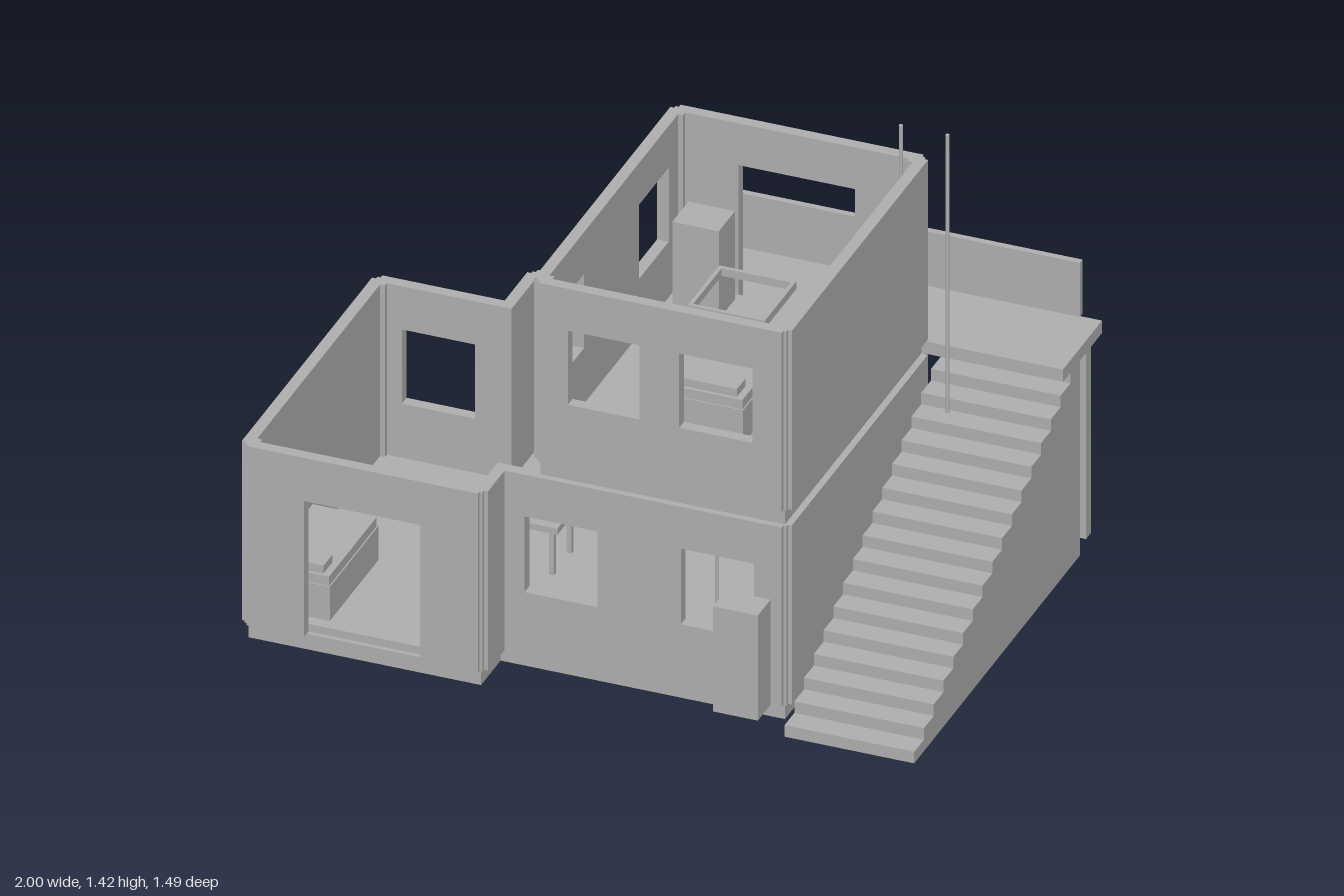
import * as THREE from 'three';

export function createModel() {
  const model = new THREE.Group();
  const plaster = new THREE.MeshStandardMaterial({ color: 0xb0b0b0 });
  plaster.name = 'grey plaster';
  const T = 0.035; // wall thickness

  function add(name, geometry, parent = model) {
    const mesh = new THREE.Mesh(geometry, plaster);
    mesh.name = name;
    parent.add(mesh);
    return mesh;
  }

  // Box given by its limits on each axis
  function box(name, x0, x1, y0, y1, z0, z1, parent = model) {
    const g = new THREE.BoxGeometry(x1 - x0, y1 - y0, z1 - z0);
    g.translate((x0 + x1) / 2, (y0 + y1) / 2, (z0 + z1) / 2);
    return add(name, g, parent);
  }

  function group(name) {
    const g = new THREE.Group();
    g.name = name;
    model.add(g);
    return g;
  }

  // Wall along x or z; openings are [from, to, bottom, top], doors start at the wall foot
  function wall(parent, name, axis, outer, inward, a, b, y0, y1, openings = []) {
    const s = new THREE.Shape();
    s.moveTo(a, y0);
    for (const [p, q, low, high] of openings) {
      if (low <= y0) {
        s.lineTo(p, y0); s.lineTo(p, high); s.lineTo(q, high); s.lineTo(q, y0);
      } else {
        const h = new THREE.Path();
        h.moveTo(p, low); h.lineTo(p, high); h.lineTo(q, high); h.lineTo(q, low);
        h.closePath();
        s.holes.push(h);
      }
    }
    s.lineTo(b, y0); s.lineTo(b, y1); s.lineTo(a, y1);
    s.closePath();
    const g = new THREE.ExtrudeGeometry(s, { depth: T, bevelEnabled: false });
    const mesh = add(name, g, parent);
    if (axis === 'x') {
      mesh.position.z = inward > 0 ? outer : outer - T;
    } else {
      g.rotateY(-Math.PI / 2);
      mesh.position.x = inward > 0 ? outer + T : outer;
    }
  }

  // Recessed post filling a notched outer corner
  function cornerPost(parent, x, z, sx, sz, y0, y1) {
    const xa = x + sx * 0.012, xb = x + sx * 0.05;
    const za = z + sz * 0.012, zb = z + sz * 0.05;
    box('cornerPost', Math.min(xa, xb), Math.max(xa, xb), y0, y1, Math.min(za, zb), Math.max(za, zb), parent);
  }

  // Slab from a plan outline of [x, z] points
  function slab(name, pts, y0, y1) {
    const s = new THREE.Shape(pts.map(([x, z]) => new THREE.Vector2(x, -z)));
    const g = new THREE.ExtrudeGeometry(s, { depth: y1 - y0, bevelEnabled: false });
    g.rotateX(-Math.PI / 2);
    g.translate(0, y0, 0);
    add(name, g);
  }
  const plan = (d) => [
    [-1 + d, 0.74 - d], [-0.26 - d, 0.74 - d], [-0.26 - d, 0.595 - d], [0.595 - d, 0.595 - d],
    [0.595 - d, -0.46 + d], [-0.61 + d, -0.46 + d], [-0.61 + d, -0.27 + d], [-1 + d, -0.27 + d]];

  // Ground floor
  slab('foundation', plan(0.02), 0, 0.05);
  slab('groundFloor', plan(0.033), 0.05, 0.075);
  const n = 0.022; // corner notch
  const lower = group('lowerWalls');
  const L = [0.05, 0.63];
  wall(lower, 'frontBayWall', 'x', 0.74, -1, -1 + n, -0.26 - n, ...L, [[-0.805, -0.455, 0.05, 0.49]]);
  wall(lower, 'frontWall', 'x', 0.595, -1, -0.26 - T, 0.595 - n, ...L,
    [[-0.2, 0.02, 0.25, 0.495], [0.27, 0.49, 0.25, 0.495]]);
  wall(lower, 'baySideWall', 'z', -0.26, -1, 0.595 - T, 0.74 - n, ...L);
  wall(lower, 'rightWall', 'z', -1, 1, -0.27 + n, 0.74 - n, ...L);
  wall(lower, 'leftWall', 'z', 0.595, -1, -0.46 + n, 0.595 - n, ...L);
  wall(lower, 'backBayWall', 'x', -0.27, 1, -1 + n, -0.61 + T, ...L, [[-0.905, -0.685, 0.25, 0.49]]);
  wall(lower, 'backReturnWall', 'z', -0.61, 1, -0.46 + n, -0.27 + T, ...L);
  wall(lower, 'backWall', 'x', -0.46, 1, -0.61 + n, 0.595 - n, ...L,
    [[-0.51, -0.29, 0.25, 0.49], [-0.185, 0.175, 0.05, 0.495], [0.27, 0.49, 0.25, 0.495]]);
  for (const [x, z, sx, sz] of [[-1, 0.74, 1, -1], [-0.26, 0.74, -1, -1], [0.595, 0.595, -1, -1],
    [0.595, -0.46, -1, 1], [-0.61, -0.46, 1, 1], [-1, -0.27, 1, 1]]) {
    cornerPost(lower, x, z, sx, sz, ...L);
  }

  // Upper floor
  box('upperSlab', -0.16, 0.575, 0.63, 0.68, -0.44, 0.575);
  box('upperFloor', -0.147, 0.562, 0.68, 0.705, -0.427, 0.562);
  const upper = group('upperWalls');
  const U = [0.68, 1.26];
  wall(upper, 'frontWall', 'x', 0.595, -1, -0.18 + n, 0.595 - n, ...U,
    [[-0.07, 0.145, 0.885, 1.125], [0.265, 0.485, 0.885, 1.125]]);
  wall(upper, 'backWall', 'x', -0.46, 1, -0.18 + n, 0.595 - n, ...U, [[0.03, 0.38, 0.68, 1.125]]);
  wall(upper, 'leftWall', 'z', 0.595, -1, -0.46 + n, 0.595 - n, ...U);
  wall(upper, 'rightWall', 'z', -0.18, 1, -0.46 + n, 0.595 - n, ...U,
    [[-0.34, -0.12, 0.885, 1.125], [0.29, 0.51, 0.885, 1.125]]);
  for (const [x, sx] of [[-0.18, 1], [0.595, -1]]) {
    for (const [z, sz] of [[-0.46, 1], [0.595, -1]]) cornerPost(upper, x, z, sx, sz, ...U);
  }

  // Solid outside stair, drawn as a stepped side profile
  const rise = 0.0372, run = 0.0725, steps = 16;
  const profile = new THREE.Shape();
  profile.moveTo(0.665, 0);
  for (let i = 0; i < steps; i++) {
    profile.lineTo(0.665 - i * run, (i + 1) * rise);
    profile.lineTo(0.665 - (i + 1) * run, (i + 1) * rise);
  }
  profile.lineTo(0.665 - steps * run, 0.63);
  profile.lineTo(-0.565, 0.63);
  profile.lineTo(-0.565, 0);
  profile.closePath();
  const stair = new THREE.ExtrudeGeometry(profile, { depth: 0.39, bevelEnabled: false });
  stair.rotateY(-Math.PI / 2);
  stair.translate(1, 0, 0);
  add('staircase', stair);

  // Balcony deck with parapet and posts
  box('balconyDeck', -0.16, 1, 0.63, 0.67, -0.73, -0.44);
  box('balconyParapet', -0.225, 0.935, 0.67, 0.845, -0.745, -0.725);
  for (const x of [-0.107, 0.965]) box('balconyPost', x - 0.0175, x + 0.0175, 0, 0.63, -0.69, -0.655);

  // Tall thin poles by the stair
  for (const x of [0.555, 0.695]) {
    const pole = add('tallPole', new THREE.CylinderGeometry(0.006, 0.006, 0.9, 12));
    pole.position.set(x, 0.97, -0.335);
  }

  // Box against the front wall
  box('frontBox', 0.405, 0.54, 0.05, 0.39, 0.595, 0.69);

  // Beds with a pillow and a low headboard
  function bed(x0, x1, z0, z1, y) {
    const g = group('bed');
    box('bedBase', x0, x1, y, y + 0.11, z0, z1, g);
    box('mattress', x0 + 0.004, x1 - 0.004, y + 0.11, y + 0.14, z0 + 0.004, z1 - 0.004, g);
    box('pillow', x0 + 0.025, x1 - 0.025, y + 0.14, y + 0.165, z1 - 0.08, z1 - 0.015, g);
  }
  bed(-0.955, -0.755, 0.31, 0.67, 0.075);
  bed(0.105, 0.35, -0.055, 0.33, 0.705);

  // Dining table and two chairs
  function legs(parent, x0, x1, y0, y1, z0, z1, t) {
    for (const x of [x0, x1 - t]) for (const z of [z0, z1 - t]) box('leg', x, x + t, y0, y1, z, z + t, parent);
  }
  const table = group('table');
  box('tableTop', -0.54, -0.255, 0.215, 0.235, 0.05, 0.215, table);
  legs(table, -0.525, -0.27, 0.075, 0.215, 0.06, 0.205, 0.015);
  for (const [z0, z1, back] of [[-0.085, 0.025, 0.013], [0.245, 0.355, 0.245]]) {
    const chair = group('chair');
    box('seat', -0.455, -0.345, 0.15, 0.165, z0, z1, chair);
    box('chairBack', -0.455, -0.345, 0.165, 0.28, back, back + 0.012, chair);
    legs(chair, -0.455, -0.345, 0.075, 0.15, z0, z1, 0.012);
  }

  // Upstairs cabinet
  box('cabinet', -0.11, 0.03, 0.705, 0.99, -0.4, -0.28);

  // Open square frame high in the front corner
  const ring = group('squareFrame');
  for (const x of [0.26, 0.48]) box('frameSide', x, x + 0.012, 1.215, 1.24, 0.285, 0.52, ring);
  for (const z of [0.285, 0.508]) box('frameEnd', 0.272, 0.48, 1.215, 1.24, z, z + 0.012, ring);

  // Thin rods in the ground floor room
  for (const x of [0.305, 0.447]) {
    const rod = add('thinRod', new THREE.CylinderGeometry(0.005, 0.005, 0.555, 10));
    rod.position.set(x, 0.3525, 0.41);
  }
  return model;
}
